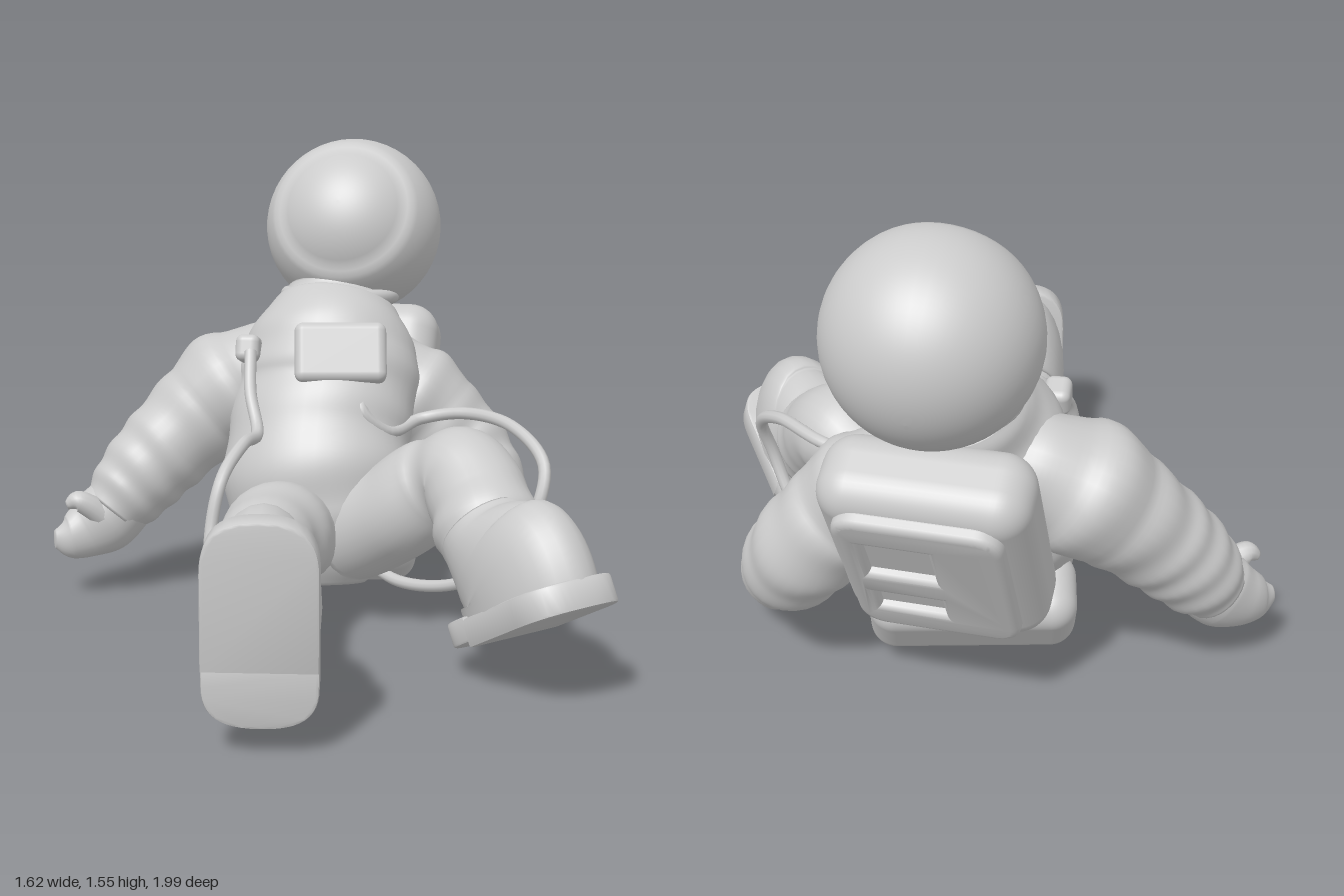
import * as THREE from 'three';
import { RoundedBoxGeometry } from 'three/addons/geometries/RoundedBoxGeometry.js';
import { toCreasedNormals } from 'three/addons/utils/BufferGeometryUtils.js';

const V = (x, y, z) => new THREE.Vector3(x, y, z);
const material = new THREE.MeshStandardMaterial({ color: 0xcccccc, roughness: 0.8 });

function add(parent, name, geometry, position = [0, 0, 0]) {
  const mesh = new THREE.Mesh(geometry, material);
  mesh.name = name;
  mesh.position.set(...position);
  parent.add(mesh);
  return mesh;
}

// Closed skin over elliptical sections [x, y, z, radius along side, radius across]; folds ripple the cloth
function loft(sections, side, { steps = 48, around = 28, folds = 0, amount = 0.03 } = {}) {
  const path = new THREE.CatmullRomCurve3(sections.map(s => V(s[0], s[1], s[2])));
  const radii = new THREE.CatmullRomCurve3(sections.map(s => V(s[3], s[4] ?? s[3], 0)));
  const position = [], index = [];
  for (let i = -1; i <= steps + 1; i++) {
    const t = THREE.MathUtils.clamp(i / steps, 0, 1);
    const c = path.getPoint(t), r = radii.getPoint(t), T = path.getTangent(t);
    const s = V(...side).addScaledVector(T, -T.dot(V(...side))).normalize();
    const n = T.clone().cross(s);
    const capped = i < 0 || i > steps ? 0 : 1;
    for (let j = 0; j < around; j++) {
      const a = (j / around) * Math.PI * 2;
      const k = capped * (1 + amount * Math.sin(t * folds * Math.PI * 2 + 0.8 * Math.sin(a * 2)) * (folds ? 1 : 0));
      const p = c.clone().addScaledVector(s, r.x * k * Math.cos(a)).addScaledVector(n, r.y * k * Math.sin(a));
      position.push(p.x, p.y, p.z);
      if (i > steps) continue;
      const row = (i + 1) * around, a0 = row + j, b0 = row + (j + 1) % around;
      index.push(a0, b0, b0 + around, a0, b0 + around, a0 + around);
    }
  }
  const g = new THREE.BufferGeometry();
  g.setAttribute('position', new THREE.Float32BufferAttribute(position, 3));
  g.setIndex(index);
  g.computeVertexNormals();
  return g;
}

const hose = (points, radius = 0.02) =>
  new THREE.TubeGeometry(new THREE.CatmullRomCurve3(points.map(p => V(...p))), 90, radius, 10);

// Flat slab seen from above: straight back edge, front edge rounded by "round"
function slab(w, back, front, round, height) {
  const s = new THREE.Shape();
  s.moveTo(-w, back);
  s.lineTo(w, back);
  s.lineTo(w, front - round);
  s.bezierCurveTo(w, front - round * 0.3, w * 0.72, front, 0, front);
  s.bezierCurveTo(-w * 0.72, front, -w, front - round * 0.3, -w, front - round);
  const g = new THREE.ExtrudeGeometry(s, { depth: height, bevelEnabled: true, bevelSize: 0.008, bevelThickness: 0.008, bevelSegments: 2 });
  return toCreasedNormals(g.rotateX(Math.PI / 2), 0.6);
}

// Boot standing on its sole, toe along +z; top is the cuff height, slope cuts back the instep
function boot(name, position, side, toe, top, slope) {
  const g = new THREE.Group();
  g.name = name;
  add(g, 'soleFront', slab(0.15, -0.05, 0.35, 0.14, 0.07), [0, 0.078, 0]);
  add(g, 'heel', slab(0.15, 0.06, 0.215, 0.11, 0.06).rotateY(Math.PI), [0, 0.085, 0]);
  add(g, 'upper', loft([
    [0, 0.05, 0.07, 0.155, 0.278], [0, 0.14, 0.075, 0.16, 0.283], [0, 0.22, 0.055 - slope, 0.155, 0.255 - slope],
    [0, 0.29, 0.01 - slope, 0.15, 0.195 - slope], [0, top, -0.01 - slope, 0.145, 0.16 - slope / 2],
  ], [1, 0, 0]));
  const z = V(...toe).normalize(), x = V(...side);
  x.addScaledVector(z, -x.dot(z)).normalize();
  g.quaternion.setFromRotationMatrix(new THREE.Matrix4().makeBasis(x, z.clone().cross(x), z));
  g.position.set(...position);
  return g;
}

// Tilted placement: turned toward -x, leaning back
const lean = (mesh, yaw, tilt) => mesh.rotation.set(tilt, yaw, 0, 'YXZ');

export function createModel() {
  const model = new THREE.Group();
  model.name = 'seatedAstronaut';

  // Torso and collar
  add(model, 'torso', loft([
    [0.09, 0.11, -0.2, 0.14, 0.1], [0.09, 0.21, -0.22, 0.25, 0.18], [0.08, 0.34, -0.25, 0.3, 0.24],
    [0.08, 0.48, -0.29, 0.315, 0.265], [0.1, 0.61, -0.35, 0.305, 0.255], [0.13, 0.72, -0.41, 0.31, 0.26],
    [0.15, 0.82, -0.46, 0.305, 0.265], [0.17, 0.91, -0.51, 0.26, 0.24], [0.19, 0.98, -0.56, 0.205, 0.19],
    [0.2, 1.02, -0.58, 0.18, 0.17],
  ], [0.93, 0, 0.36], { steps: 80, around: 40, folds: 7, amount: 0.015 }));
  const collar = add(model, 'collar', new THREE.TorusGeometry(0.18, 0.025, 12, 40).rotateX(Math.PI / 2), [0.2, 1.025, -0.575]);
  lean(collar, -0.4, -0.1);

  // Helmet with sunken visor, spun around the visor axis
  const profile = [];
  for (let i = 0; i <= 48; i++) {
    const a = (i / 48) * Math.PI;
    const r = 0.303 * (1 - 0.06 * (1 - THREE.MathUtils.smoothstep(a, 0.78, 0.93)));
    profile.push(new THREE.Vector2(Math.sin(a) * r, -Math.cos(a) * r));
  }
  const helmet = add(model, 'helmet', new THREE.LatheGeometry(profile, 48), [0.262, 1.25, -0.667]);
  helmet.quaternion.setFromUnitVectors(V(0, -1, 0), V(-0.33, 0.4, 0.86).normalize());

  // Backpack with two recessed panels in its rear plate
  const pack = new THREE.Group();
  pack.name = 'backpack';
  pack.position.set(0.25, 0.635, -0.675);
  lean(pack, -0.4, -0.5);
  add(pack, 'packBody', new RoundedBoxGeometry(0.6, 0.7, 0.26, 6, 0.1));
  const plate = new THREE.Shape();
  const [w, h, c] = [0.215, 0.265, 0.06];
  plate.moveTo(-w + c, -h).lineTo(w - c, -h).quadraticCurveTo(w, -h, w, -h + c);
  plate.lineTo(w, h - c).quadraticCurveTo(w, h, w - c, h).lineTo(-w + c, h);
  plate.quadraticCurveTo(-w, h, -w, h - c).lineTo(-w, -h + c).quadraticCurveTo(-w, -h, -w + c, -h);
  for (const [y, half] of [[0.09, 0.105], [-0.14, 0.07]]) {
    const hole = new THREE.Path();
    hole.moveTo(-0.05, y - half).lineTo(-0.05, y + half).lineTo(0.19, y + half).lineTo(0.19, y - half).closePath();
    plate.holes.push(hole);
  }
  add(pack, 'rearPlate', toCreasedNormals(new THREE.ExtrudeGeometry(plate, {
    depth: 0.01, bevelSize: 0.025, bevelThickness: 0.025, bevelSegments: 4,
  }), 0.6), [0, 0, -0.135]);
  model.add(pack);
  lean(add(model, 'lowerPack', new RoundedBoxGeometry(0.63, 0.28, 0.25, 6, 0.08), [0.12, 0.215, -0.39]), -0.13, -0.62);

  // Chest control box and hose fittings
  lean(add(model, 'chestBox', new RoundedBoxGeometry(0.3, 0.2, 0.14, 4, 0.03), [0.15, 0.87, -0.245]), -0.12, -0.4);
  for (const p of [[-0.14, 0.88, -0.35], [0.2, 0.75, -0.2]])
    lean(add(model, 'hoseFitting', new RoundedBoxGeometry(0.08, 0.09, 0.1, 3, 0.025), p), -0.3, -0.3);

  // Arms, gloves
  add(model, 'rightArm', loft([
    [0.04, 0.81, -0.55, 0.14], [-0.12, 0.74, -0.58, 0.18], [-0.27, 0.63, -0.585, 0.18], [-0.39, 0.52, -0.57, 0.165],
    [-0.47, 0.44, -0.56, 0.155], [-0.54, 0.36, -0.55, 0.14], [-0.6, 0.29, -0.535, 0.11],
  ], [0, 0, 1], { steps: 64, folds: 6, amount: 0.025 }));
  add(model, 'rightGlove', loft([
    [-0.53, 0.36, -0.54, 0.11], [-0.62, 0.27, -0.53, 0.1, 0.12], [-0.69, 0.23, -0.52, 0.075, 0.1],
    [-0.75, 0.21, -0.5, 0.055, 0.075], [-0.8, 0.21, -0.49, 0.02, 0.03],
  ], [0, 0, 1]));
  add(model, 'rightThumb', loft([
    [-0.62, 0.28, -0.48, 0.045], [-0.68, 0.33, -0.465, 0.04], [-0.72, 0.35, -0.46, 0.035], [-0.755, 0.335, -0.46, 0.015],
  ], [0, 0, 1], { steps: 16, around: 12 }));
  add(model, 'leftArm', loft([
    [0.28, 0.8, -0.52, 0.15], [0.4, 0.71, -0.49, 0.17], [0.51, 0.61, -0.465, 0.17], [0.6, 0.51, -0.44, 0.165],
    [0.655, 0.41, -0.38, 0.155], [0.69, 0.32, -0.29, 0.13], [0.71, 0.24, -0.19, 0.1],
  ], [1, 0, 0], { steps: 64, folds: 6, amount: 0.025 }));
  add(model, 'leftGlove', loft([
    [0.69, 0.33, -0.29, 0.11], [0.71, 0.23, -0.18, 0.09, 0.115], [0.73, 0.155, -0.09, 0.075, 0.1],
    [0.735, 0.1, -0.03, 0.06, 0.08], [0.735, 0.065, 0.01, 0.025, 0.035],
  ], [1, 0, 0]));
  add(model, 'leftThumb', loft([
    [0.7, 0.2, -0.07, 0.045], [0.66, 0.14, -0.03, 0.035], [0.64, 0.09, -0.02, 0.015],
  ], [1, 0, 0], { steps: 16, around: 12 }));

  // Legs
  add(model, 'rightLeg', loft([
    [0, 0.3, -0.2, 0.17], [-0.08, 0.33, -0.02, 0.175], [-0.14, 0.35, 0.14, 0.155], [-0.17, 0.34, 0.3, 0.14],
    [-0.19, 0.32, 0.45, 0.14, 0.155], [-0.2, 0.31, 0.6, 0.145, 0.17],
  ], [1, 0, 0], { steps: 64, folds: 5, amount: 0.015 }));
  add(model, 'leftLeg', loft([
    [0.17, 0.29, -0.18, 0.17], [0.3, 0.39, -0.04, 0.165], [0.41, 0.5, 0.05, 0.155], [0.48, 0.545, 0.14, 0.155],
    [0.51, 0.48, 0.25, 0.155], [0.52, 0.41, 0.34, 0.155], [0.545, 0.31, 0.43, 0.14],
  ], [0.85, -0.2, -0.5], { steps: 64, folds: 5, amount: 0.015 }));

  // Boots
  model.add(boot('rightBoot', [-0.25, 0.3, 0.965], [0.98, 0, 0.17], [0, 1, 0.03], 0.42, 0));
  model.add(boot('leftBoot', [0.58, 0.165, 0.535], [0.94, 0.05, -0.34], [0.17, 0.28, 0.47], 0.33, 0.03));

  // Life-support hoses looping from chest to pack
  add(model, 'leftHose', hose([
    [0.2, 0.77, -0.17], [0.21, 0.7, -0.13], [0.3, 0.63, -0.15], [0.42, 0.65, -0.24], [0.55, 0.68, -0.17],
    [0.67, 0.67, 0.02], [0.73, 0.58, 0.17], [0.7, 0.45, 0.21], [0.64, 0.28, 0.15], [0.5, 0.15, 0],
    [0.35, 0.1, -0.2], [0.25, 0.13, -0.4],
  ]));
  add(model, 'rightHose', hose([
    [-0.14, 0.88, -0.3], [-0.15, 0.76, -0.21], [-0.14, 0.65, -0.1], [-0.2, 0.65, 0.05], [-0.28, 0.57, 0.18],
    [-0.32, 0.4, 0.23], [-0.32, 0.2, 0.32], [-0.28, 0.08, 0.29], [-0.24, 0.03, 0.14], [-0.2, 0.02, 0],
    [-0.17, 0.05, -0.15], [-0.13, 0.13, -0.33],
  ]));
  return model;
}
